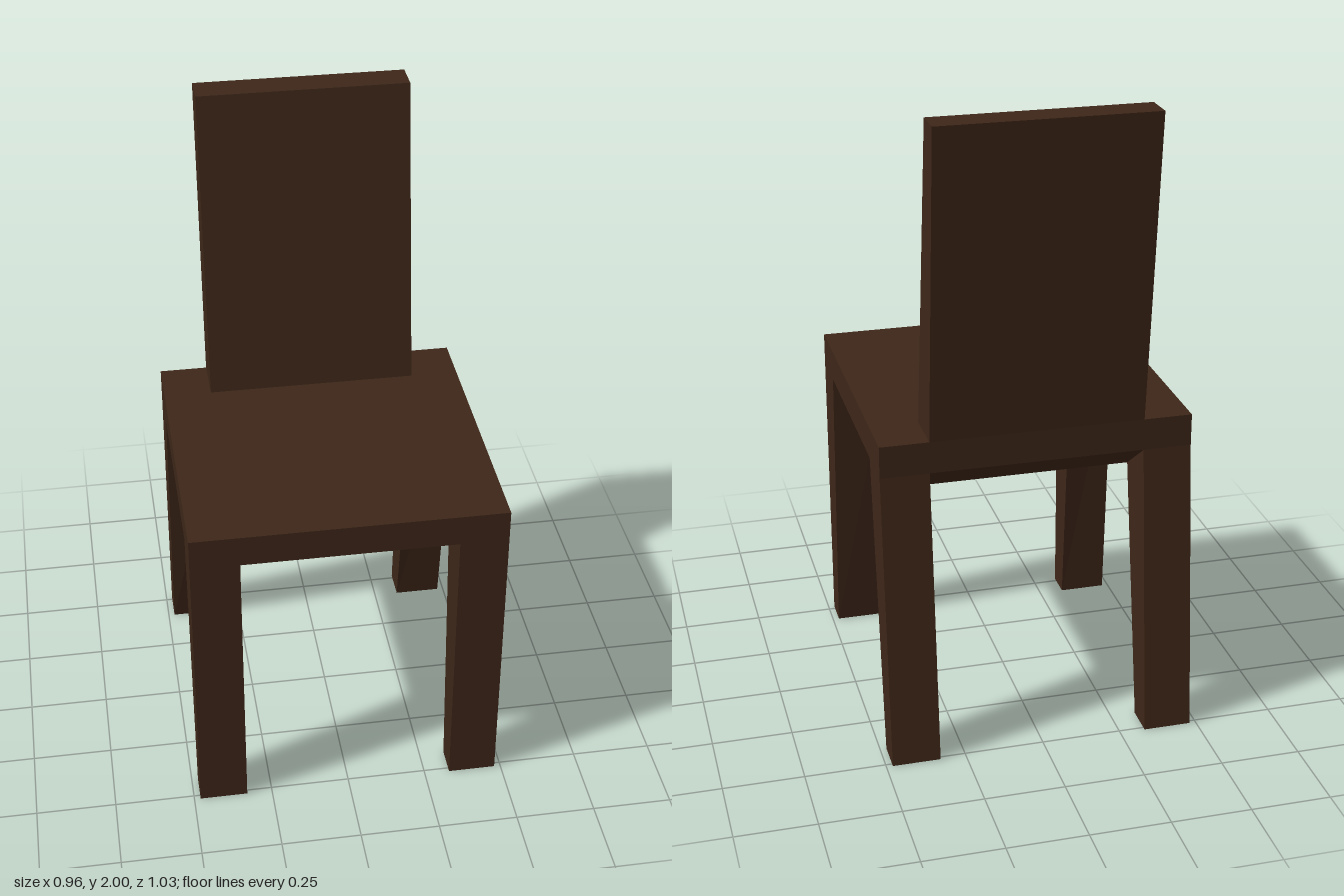
import * as THREE from 'three';

const wood = new THREE.MeshStandardMaterial({ color: 0x3d2618, flatShading: true });

// Capped solid through four-cornered rings, bottom to top, each counter-clockwise from above
function loft(name, rings) {
  const pos = [];
  const quad = (a, b, c, d) => pos.push(...a, ...b, ...c, ...a, ...c, ...d);
  for (let r = 0; r < rings.length - 1; r++) {
    const lo = rings[r], hi = rings[r + 1];
    for (let i = 0; i < 4; i++) {
      const j = (i + 1) % 4;
      quad(lo[i], lo[j], hi[j], hi[i]);
    }
  }
  quad(...[...rings[0]].reverse());
  quad(...rings[rings.length - 1]);
  const geo = new THREE.BufferGeometry();
  geo.setAttribute('position', new THREE.Float32BufferAttribute(pos, 3));
  geo.computeVertexNormals();
  const mesh = new THREE.Mesh(geo, wood);
  mesh.name = name;
  return mesh;
}

// Level rectangle of half width w between zBack and zFront
const rect = (w, y, zBack, zFront) => [
  [w, y, zFront], [w, y, zBack], [-w, y, zBack], [-w, y, zFront],
];

const OUT = 0.48, IN = 0.33;            // outer and inner leg faces
const TOP = 1.03, RIM = 0.93, BELLY = 0.82; // seat heights
const FRONT = 0.515, BACK = -0.42;      // seat depth
const FRONT_IN = 0.363, BACK_IN = -0.268;

// Tapered leg whose inner corner meets the lower belly of the seat
function leg(name, sx, sz, topOut, topIn, footOut, footIn) {
  const rings = [
    [[OUT, 0, footOut], [OUT, 0, footIn], [IN, 0, footIn], [IN, 0, footOut]],
    [[OUT, RIM, topOut], [OUT, RIM, topIn], [IN, BELLY, topIn], [IN, RIM, topOut]],
  ].map((ring) => {
    const placed = ring.map(([x, y, z]) => [x * sx, y, z]);
    return sx * sz < 0 ? placed.reverse() : placed;
  });
  return loft(name, rings);
}

export function createModel() {
  const chair = new THREE.Group();
  chair.name = 'chair';

  // Seat slab with a bevelled underside
  chair.add(loft('seat', [
    rect(IN, BELLY, BACK_IN, FRONT_IN),
    rect(OUT, RIM, BACK, FRONT),
    rect(OUT, TOP, BACK, FRONT),
  ]));

  // Backrest leaning and thinning upwards
  chair.add(loft('backrest', [
    rect(IN, TOP, BACK, BACK_IN),
    rect(IN, 2, -0.515, -0.415),
  ]));

  // Straight front legs, splayed back legs
  for (const [side, sx] of [['left', 1], ['right', -1]]) {
    chair.add(leg(side + 'FrontLeg', sx, 1, FRONT, FRONT_IN, FRONT, 0.425));
    chair.add(leg(side + 'BackLeg', sx, -1, BACK, BACK_IN, -0.512, -0.412));
  }
  return chair;
}
